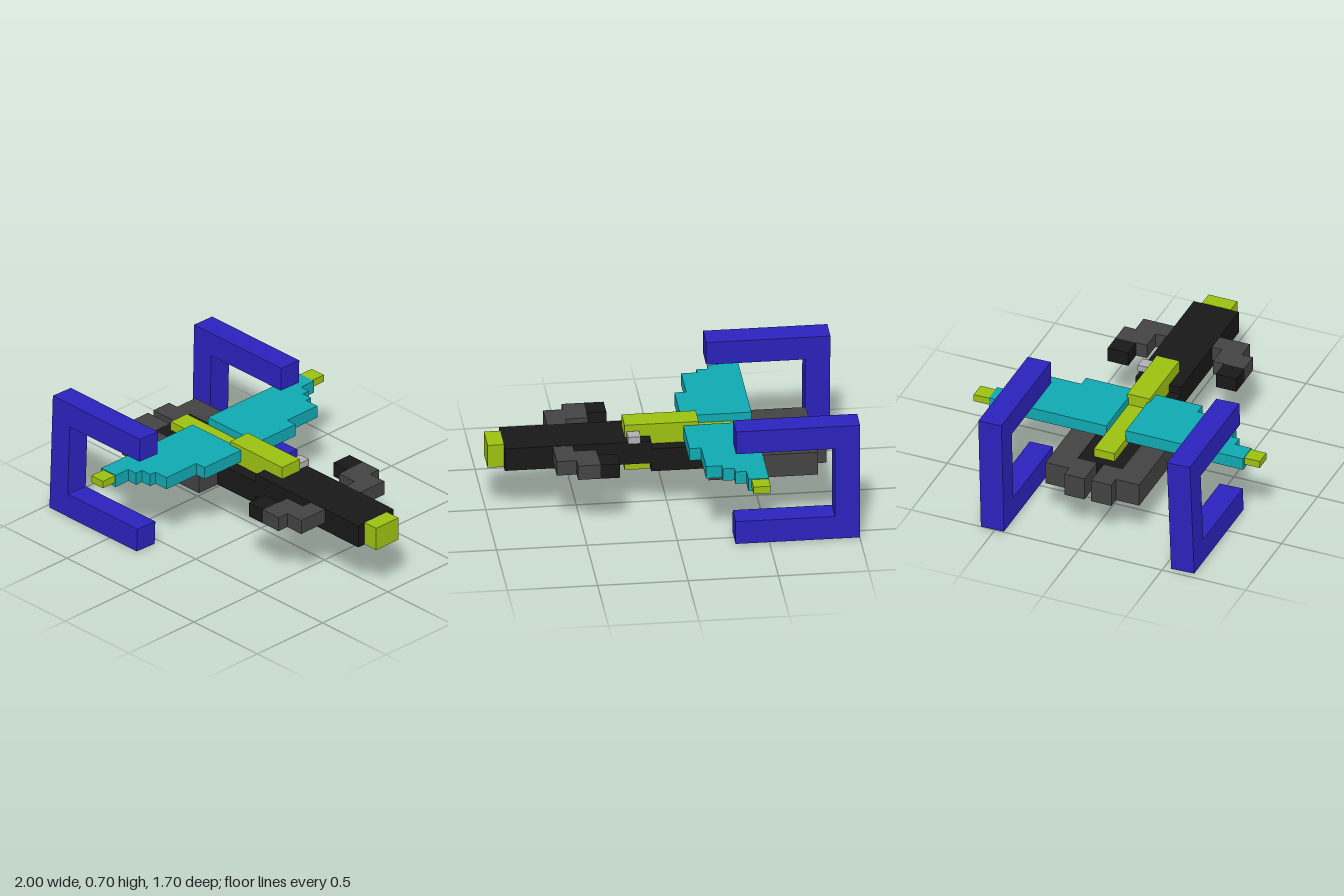
import * as THREE from 'three';

const mat = (color) => new THREE.MeshStandardMaterial({ color, flatShading: true });

export function createModel() {
  const model = new THREE.Group();
  model.name = 'spacecraft';
  const blue = mat(0x2a22bc), teal = mat(0x10a8b0), lime = mat(0x9cc010);
  const black = mat(0x181818), grey = mat(0x424242), pale = mat(0xb0b0b0);

  // Box given by its extents along each axis
  function box(name, material, [x0, x1], [y0, y1], [z0, z1]) {
    const mesh = new THREE.Mesh(new THREE.BoxGeometry(x1 - x0, y1 - y0, z1 - z0), material);
    mesh.position.set((x0 + x1) / 2, (y0 + y1) / 2, (z0 + z1) / 2);
    mesh.name = name;
    model.add(mesh);
    return mesh;
  }

  function extrude(points, depth) {
    const shape = new THREE.Shape(points.map(([x, y]) => new THREE.Vector2(x, y)));
    return new THREE.ExtrudeGeometry(shape, { depth, bevelEnabled: false });
  }

  // Fuselage
  box('frontFuselage', black, [0.1, 0.91], [0.3, 0.435], [-0.132, 0.138]);
  box('rearFuselage', black, [-0.7, 0.1], [0.25, 0.387], [-0.132, 0.138]);
  box('nose', lime, [0.91, 1], [0.3, 0.437], [-0.082, 0.09]);
  box('cabin', lime, [-0.17, 0.24], [0.233, 0.507], [-0.065, 0.07]);
  box('spine', lime, [-0.645, -0.17], [0.37, 0.438], [-0.06, 0.064]);
  box('sensor', pale, [0.16, 0.23], [0.43, 0.472], [-0.145, -0.073]);

  // Stepped wings: plan outline as [x, z], extruded downward
  const wingSteps = [[-0.085, 0.348], [-0.15, 0.578], [-0.238, 0.617], [-0.302, 0.663], [-0.363, 0.76]];
  for (const side of [1, -1]) {
    const prefix = side > 0 ? 'left' : 'right';
    const outline = [[-0.477, side * 0.058]];
    let z = 0.058;
    for (const [x, zEnd] of wingSteps) {
      outline.push([x, side * z], [x, side * zEnd]);
      z = zEnd;
    }
    outline.push([-0.477, side * z]);
    const wing = new THREE.Mesh(extrude(outline, 0.073).rotateX(Math.PI / 2), teal);
    wing.position.y = 0.485;
    wing.name = prefix + 'Wing';
    model.add(wing);

    // Mirrored box beside the fuselage
    const pair = (name, material, xs, ys, [z0, z1]) =>
      box(prefix + name, material, xs, ys, side > 0 ? [z0, z1] : [-z1, -z0]);
    const tipX = side > 0 ? [-0.46, -0.368] : [-0.475, -0.38];
    pair('WingTip', lime, tipX, [0.438, 0.481], [0.76, 0.852]);

    // Engines
    pair('Engine', grey, [-0.805, -0.2], [0.25, 0.387], [0.135, 0.28]);
    pair('Exhaust', grey, [-0.868, -0.7], [0.25, 0.387], [0.02, 0.14]);

    // Forward fins
    pair('FinRoot', grey, [0.535, 0.645], [0.348, 0.433], [0.13, 0.318]);
    pair('FinMiddle', grey, [0.412, 0.535], [0.348, 0.433], [0.198, 0.385]);
    pair('FinTip', black, [0.302, 0.412], [0.348, 0.433], [0.262, 0.385]);
  }

  // Slightly tilted C-shaped frames
  const frameOutline = [[0, 0], [0.687, 0], [0.687, 0.138], [0.138, 0.138],
    [0.138, 0.557], [0.687, 0.557], [0.687, 0.695], [0, 0.695]];
  function frame(name, x, z, tilt) {
    const geometry = extrude(frameOutline, 0.138).translate(0, -0.3475, -0.069);
    const mesh = new THREE.Mesh(geometry, blue);
    mesh.position.set(x, 0.352, z);
    mesh.rotation.x = tilt;
    mesh.name = name;
    model.add(mesh);
  }
  frame('leftFrame', -0.968, 0.597, -0.037);
  frame('rightFrame', -1, -0.522, -0.022);

  return model;
}
